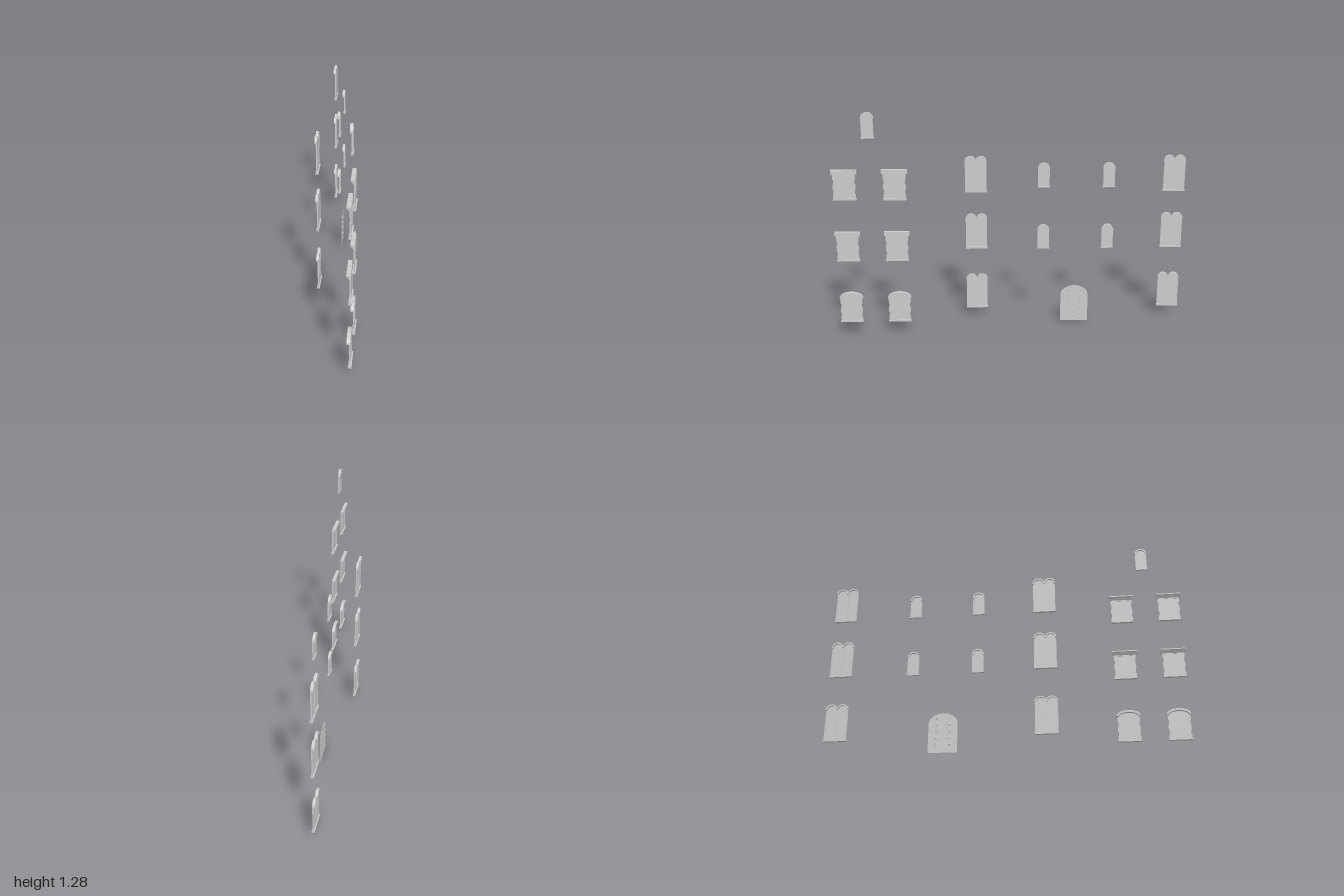
import * as THREE from 'three';

const stone = new THREE.MeshStandardMaterial({ color: 0xcccccc, side: THREE.DoubleSide });
stone.name = 'grey stone';

function add(parent, name, geometry, x = 0, y = 0, z = 0) {
  const mesh = new THREE.Mesh(geometry, stone);
  mesh.name = name;
  mesh.position.set(x, y, z);
  parent.add(mesh);
  return mesh;
}

// Box given by its x range, y range and z range
function block(parent, name, x0, x1, y0, y1, z0, z1) {
  return add(parent, name, new THREE.BoxGeometry(x1 - x0, y1 - y0, z1 - z0),
    (x0 + x1) / 2, (y0 + y1) / 2, (z0 + z1) / 2);
}

// Shape drawn in (z, y), extruded from x0 to x1
function slab(shape, x0, x1) {
  const g = new THREE.ExtrudeGeometry(shape, { depth: x1 - x0, bevelEnabled: false, curveSegments: 10 });
  return g.rotateY(-Math.PI / 2).translate(x1, 0, 0);
}

// Arched opening outline: half width w, straight from y0 to spring, then a curve of the given rise
function archOutline(w, y0, spring, rise, Type = THREE.Shape) {
  const s = new Type();
  s.moveTo(-w, y0);
  s.lineTo(w, y0);
  s.lineTo(w, spring);
  s.absellipse(0, spring, w, rise, 0, Math.PI, false, 0);
  s.lineTo(-w, y0);
  return s;
}

// Curved band above an opening
function archBand(w, spring, rise, t) {
  const s = new THREE.Shape();
  s.moveTo(w, spring);
  s.absellipse(0, spring, w, rise, 0, Math.PI, false, 0);
  s.lineTo(-w + t, spring);
  s.absellipse(0, spring, w - t, rise - t, Math.PI, 0, true, 0);
  s.lineTo(w, spring);
  return s;
}

// Single round-headed light: frame, pane and projecting arch
function archedLight(parent, r, height, z) {
  const light = new THREE.Group();
  light.name = 'archedLight';
  light.position.z = z;
  parent.add(light);
  const spring = height - r;
  const w = r - 0.002;
  const frame = archOutline(w, 0, spring, w);
  frame.holes.push(archOutline(w - 0.006, 0.004, spring, w - 0.006, THREE.Path));
  add(light, 'frame', slab(frame, -0.0035, 0.0035));
  add(light, 'pane', slab(archOutline(w - 0.005, 0.003, spring, w - 0.005), -0.001, 0.002));
  add(light, 'archHood', slab(archBand(r, spring, r, 0.008), -0.011, 0.002));
}

function windowGroup(parent, name, x, y, z) {
  const g = new THREE.Group();
  g.name = name;
  g.position.set(x, y, z);
  parent.add(g);
  return g;
}

function smallWindow(parent, x, y, z) {
  const g = windowGroup(parent, 'smallWindow', x, y, z);
  archedLight(g, 0.035, 0.143, 0);
  block(g, 'sill', -0.006, 0.006, 0, 0.005, -0.036, 0.036);
}

function twinWindow(parent, x, y, z) {
  const g = windowGroup(parent, 'twinWindow', x, y, z);
  for (const s of [-1, 1]) archedLight(g, 0.033, 0.213, s * 0.031);
  block(g, 'mullion', -0.005, 0.0035, 0.01, 0.18, -0.005, 0.005);
  block(g, 'sill', -0.0075, 0.0075, 0, 0.011, -0.064, 0.064);
}

// Broad window with side blocks, under a cornice or a curved hood
function broadWindow(parent, x, y, z, curved) {
  const g = windowGroup(parent, 'broadWindow', x, y, z);
  const top = curved ? 0.145 : 0.15;
  const w = 0.058;
  for (const s of [-1, 1]) {
    block(g, 'jamb', -0.0035, 0.0035, 0.005, top, s * 0.053 - 0.005, s * 0.053 + 0.005);
    for (const f of [0.12, 0.5, 0.88]) {
      const c = f * top;
      block(g, 'sideBlock', -0.0035, 0.0035, c - 0.015, c + 0.015, s * 0.057 - 0.005, s * 0.057 + 0.005);
    }
  }
  block(g, 'sill', -0.0085, 0.0085, 0, 0.009, -0.064, 0.064);
  if (curved) {
    add(g, 'pane', slab(archOutline(w - 0.006, 0.005, top, 0.024), -0.001, 0.002));
    add(g, 'curvedHood', slab(archBand(0.067, top, 0.034, 0.012), -0.0165, 0.002));
  } else {
    block(g, 'pane', -0.001, 0.002, 0.005, top, -w + 0.006, w - 0.006);
    block(g, 'lintel', -0.0035, 0.0035, top - 0.008, top + 0.012, -w, w);
    // Cornice with a sloping underside
    const p = new THREE.Shape();
    [[-0.0185, 0.17], [-0.0185, 0.164], [-0.014, 0.162], [-0.004, 0.147], [0.0015, 0.147], [0.0015, 0.17]]
      .forEach(([a, b], i) => (i ? p.lineTo(a, b) : p.moveTo(a, b)));
    const cornice = new THREE.ExtrudeGeometry(p, { depth: 0.142, bevelEnabled: false });
    add(g, 'cornice', cornice.translate(0, 0, -0.071));
  }
}

function door(parent, x, z) {
  const g = windowGroup(parent, 'door', x, 0, z);
  const leaf = new THREE.ShapeGeometry(archOutline(0.081, 0, 0.165, 0.061), 14);
  add(g, 'doorLeaf', leaf.rotateY(-Math.PI / 2));
  for (const y of [0.046, 0.084, 0.123, 0.161, 0.198])
    for (const s of [-1, 1])
      add(g, 'stud', new THREE.OctahedronGeometry(1).toNonIndexed().scale(0.0045, 0.011, 0.007), -0.0005, y, s * 0.036);
}

export function createModel() {
  const model = new THREE.Group();
  model.name = 'facadeOpenings';

  // Twin windows on three floors
  for (const y of [0.775, 0.43, 0.054])
    for (const z of [0.214, -0.936]) twinWindow(model, -0.1165, y, z);

  // Small windows above the door, and one at the top of the gable
  for (const y of [0.824, 0.459])
    for (const z of [-0.174, -0.545]) smallWindow(model, -0.0295, y, z);
  smallWindow(model, 0.1085, 1.14, 0.788);

  // Broad windows
  for (const z of [0.929, 0.654]) {
    broadWindow(model, 0.1135, 0.797, z, false);
    broadWindow(model, 0.1135, 0.441, z, false);
    broadWindow(model, 0.1135, 0.07, z, true);
  }

  door(model, -0.0275, -0.361);
  return model;
}
